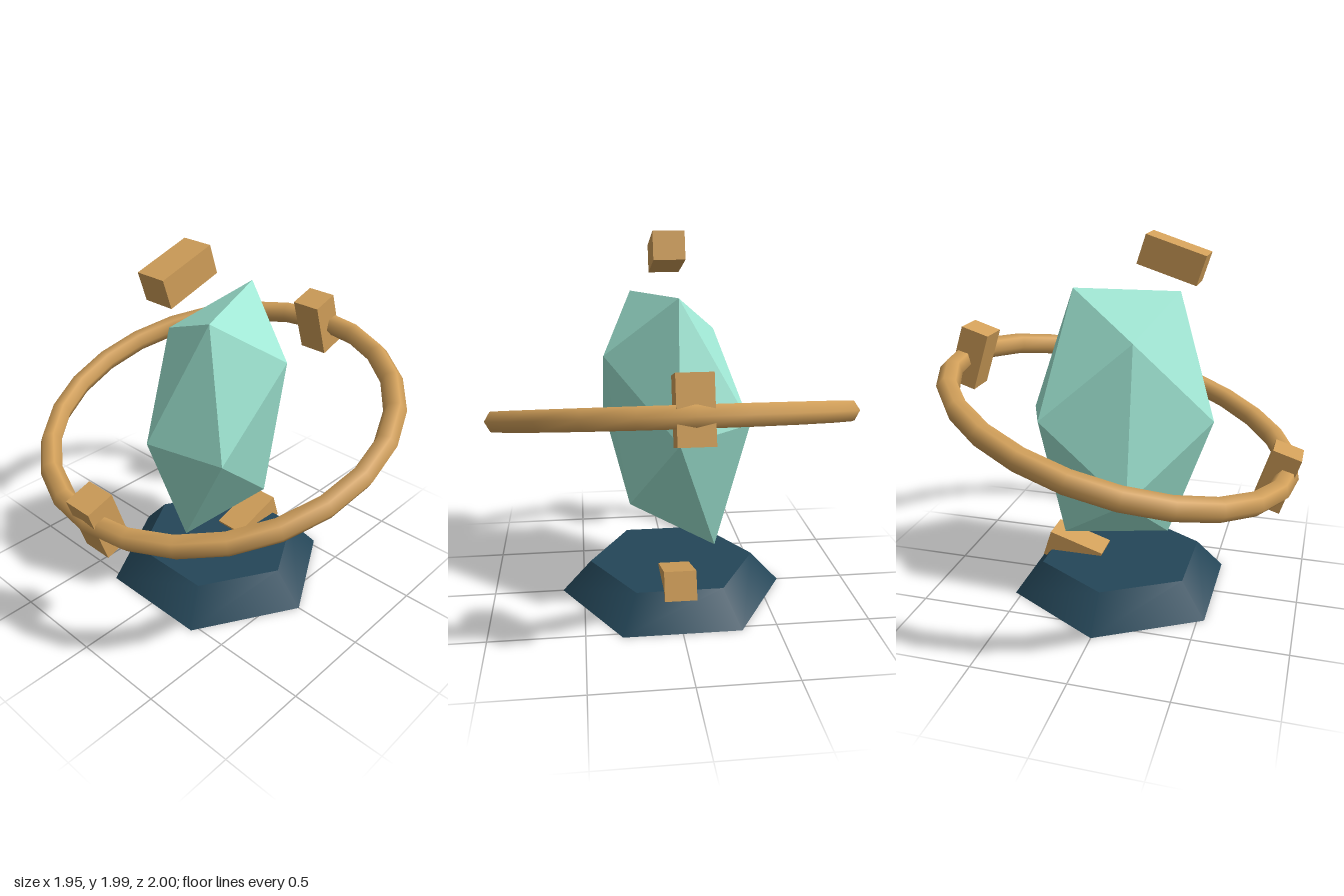
import * as THREE from 'three';
import { ConvexGeometry } from 'three/addons/geometries/ConvexGeometry.js';

const CENTRE_Y = 1.015;

export function createModel() {
  const model = new THREE.Group();
  model.name = 'floatingCrystal';

  const stone = new THREE.MeshStandardMaterial({ color: 0x9fe6d3, flatShading: true });
  const gold = new THREE.MeshStandardMaterial({ color: 0xd2a05a });
  const slate = new THREE.MeshStandardMaterial({ color: 0x244658 });

  const add = (name, geometry, material, parent = model) => {
    const mesh = new THREE.Mesh(geometry, material);
    mesh.name = name;
    parent.add(mesh);
    return mesh;
  };

  // Hexagonal pedestal
  add('pedestal', new THREE.CylinderGeometry(0.46, 0.62, 0.175, 6), slate).position.y = 0.0875;

  // Everything that hovers shares one centre
  const hovering = new THREE.Group();
  hovering.name = 'hoveringParts';
  hovering.position.y = CENTRE_Y;
  model.add(hovering);

  // Twenty-sided crystal: six corners, each mirrored through the centre
  const half = [
    [-0.27, 0.645, 0.2], [0.265, 0.675, -0.005], [-0.12, 0.455, -0.24],
    [0.12, 0.365, 0.365], [-0.35, -0.045, 0.36], [0.505, -0.005, 0.015],
  ].map((p) => new THREE.Vector3(...p));
  const corners = half.flatMap((p) => [p, p.clone().negate()]);
  add('crystal', new ConvexGeometry(corners), stone, hovering);

  // Tilted ring
  const ringGeometry = new THREE.TorusGeometry(0.94, 0.06, 6, 24).rotateX(Math.PI / 2);
  add('ring', ringGeometry, gold, hovering).rotation.z = 0.28;

  // Four blocks on an upright circle, long side along the circle
  const blockGeometry = new THREE.BoxGeometry(0.155, 0.32, 0.17);
  for (let i = 0; i < 4; i++) {
    const angle = 0.31 + (i * Math.PI) / 2;
    const block = add('orbitBlock', blockGeometry, gold, hovering);
    block.position.set(0.893 * Math.cos(angle), 0.893 * Math.sin(angle), 0);
    block.rotation.z = angle;
  }

  return model;
}
